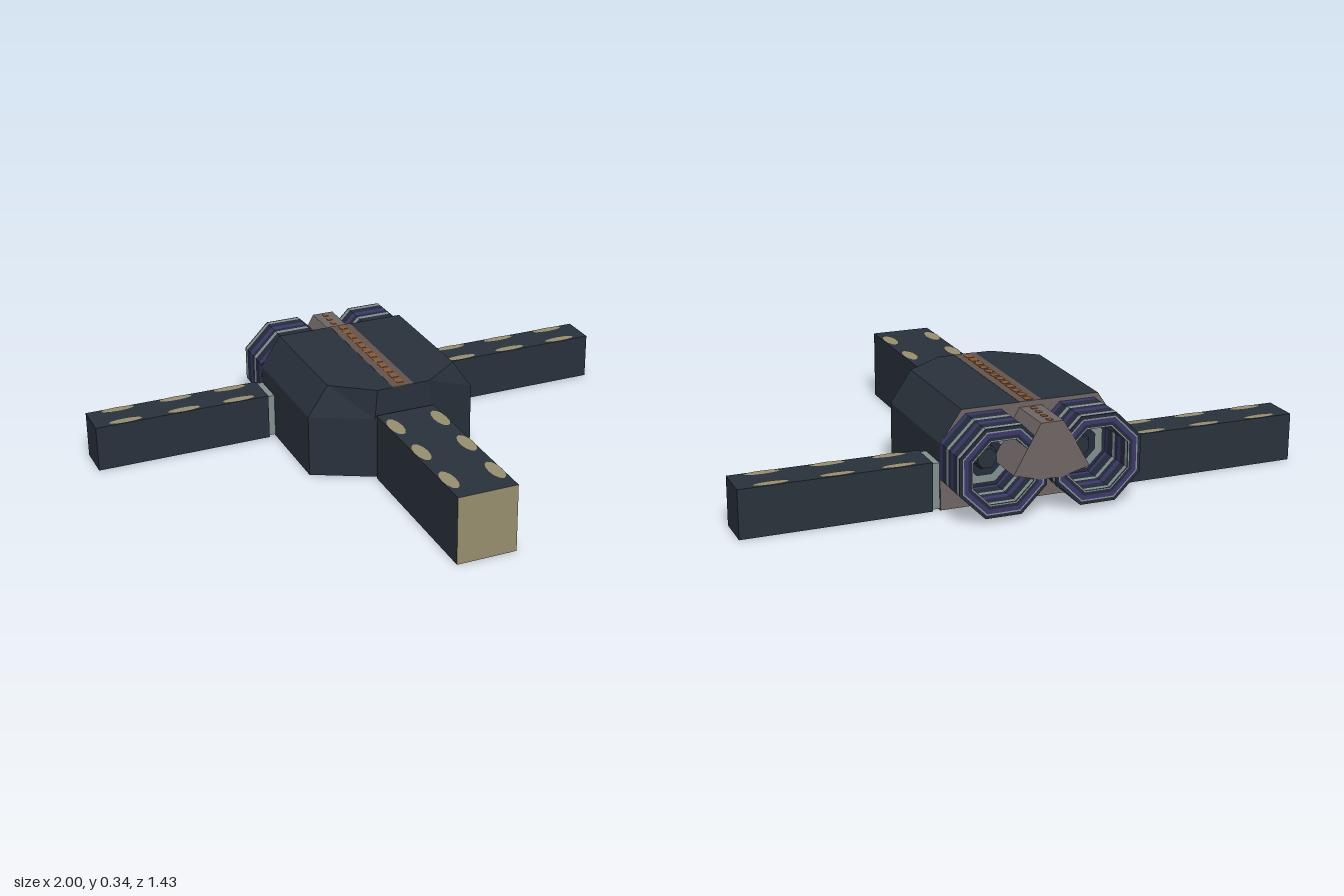
import * as THREE from 'three';

const mat = (name, color) => {
  const m = new THREE.MeshStandardMaterial({ color, side: THREE.DoubleSide });
  m.name = name;
  return m;
};

export function createModel() {
  const model = new THREE.Group();
  model.name = 'spacecraft';
  const hull = mat('hullSlate', 0x28313b);
  const under = mat('undersideBrown', 0x6e6564);
  const cream = mat('cream', 0x968e6e);
  const pale = mat('paleGrey', 0x829090);
  const stripe = mat('stripeBrown', 0x63544c);
  const orange = mat('stripeOrange', 0x8a5730);
  const navy = mat('engineNavy', 0x252c3c);
  const violet = mat('engineViolet', 0x3b396a);

  const add = (name, geo, material, x = 0, y = 0, z = 0, parent = model) => {
    const m = new THREE.Mesh(geo, material);
    m.name = name;
    m.position.set(x, y, z);
    parent.add(m);
    return m;
  };
  // Box given by its minimum and maximum corners
  const box = (name, a, b, material) => add(name,
    new THREE.BoxGeometry(b[0] - a[0], b[1] - a[1], b[2] - a[2]), material,
    (a[0] + b[0]) / 2, (a[1] + b[1]) / 2, (a[2] + b[2]) / 2);
  const toShape = (pts) => new THREE.Shape(pts.map(([x, y]) => new THREE.Vector2(x, y)));

  // Hull: three cross-sections, bevelled roof and tapered nose
  const section = (w, roof) => [[w, 0], [w, 0.23], [roof, 0.34], [-roof, 0.34], [-w, 0.23], [-w, 0]];
  const rear = section(0.32, 0.245), nose = section(0.11, 0.1);
  const loft = [[rear, -0.54], [rear, -0.065], [nose, 0.045]];
  const pos = [];
  for (let s = 0; s < 2; s++) {
    const [pa, za] = loft[s], [pb, zb] = loft[s + 1];
    for (let i = 0; i < 5; i++) {
      const a = [...pa[i], za], b = [...pa[i + 1], za], c = [...pb[i + 1], zb], d = [...pb[i], zb];
      pos.push(...a, ...b, ...c, ...a, ...c, ...d);
    }
  }
  const shell = new THREE.BufferGeometry();
  shell.setAttribute('position', new THREE.Float32BufferAttribute(pos, 3));
  shell.computeVertexNormals();
  add('hullShell', shell, hull);
  add('hullNose', new THREE.ShapeGeometry(toShape(nose)), hull, 0, 0, 0.045);
  add('hullBack', new THREE.ShapeGeometry(toShape(rear)).rotateY(Math.PI), under, 0, 0, -0.54);

  // Underside with an octagonal recess
  const bay = { z: -0.25, r: 0.2, depth: 0.05 };
  const floor = toShape([[-0.32, -0.54], [0.32, -0.54], [0.32, -0.065], [0.11, 0.045], [-0.11, 0.045], [-0.32, -0.065]]);
  const hole = new THREE.Path();
  for (let i = 0; i < 8; i++) {
    const t = -(i + 0.5) * Math.PI / 4;
    hole[i ? 'lineTo' : 'moveTo'](bay.r * Math.sin(t), bay.z + bay.r * Math.cos(t));
  }
  hole.closePath();
  floor.holes.push(hole);
  add('hullFloor', new THREE.ShapeGeometry(floor).rotateX(Math.PI / 2), under);
  const oct = (r1, r2, h, open) => {
    const g = new THREE.CylinderGeometry(r1, r2, h, 8, 1, open, Math.PI / 8).toNonIndexed();
    g.computeVertexNormals();
    return g;
  };
  add('bayWall', oct(bay.r, bay.r, bay.depth, true), navy, 0, bay.depth / 2, bay.z);
  add('bayCeiling', oct(bay.r, bay.r, 0.005, false), hull, 0, bay.depth, bay.z);
  add('bayRim', new THREE.RingGeometry(0.165, bay.r, 8, 1, Math.PI / 8).rotateX(Math.PI / 2), navy, 0, 0.025, bay.z);
  add('bayHub', oct(0.035, 0.035, 0.02, false), under, 0, 0.04, bay.z);

  // Roof stripe with a dashed centre line
  box('roofStripe', [-0.04, 0.338, -0.54], [0.04, 0.341, 0.045], stripe);
  for (let i = 0; i < 12; i++) {
    const z = -0.53 + i * 0.047;
    box('stripeDash', [-0.013, 0.339, z], [0.013, 0.3425, z + 0.032], orange);
  }

  // Arms with brown undersides, pale collars and rows of oval spots
  const armMats = (front) => [hull, hull, hull, under, front, hull];
  const oval = (x, y, z, rx, rz) =>
    add('armSpot', new THREE.CircleGeometry(1, 12).rotateX(-Math.PI / 2).scale(rx, 1, rz), cream, x, y, z);
  box('frontArm', [-0.11, 0, 0.06], [0.11, 0.25, 0.715], armMats(cream));
  box('frontCollar', [-0.105, 0.005, 0.045], [0.105, 0.22, 0.06], pale);
  for (const s of [-1, 1]) {
    for (const z of [0.17, 0.38, 0.595]) oval(s * 0.085, 0.252, z, 0.025, 0.063);
    const x0 = s * 0.345, x1 = s;
    box('sideArm', [Math.min(x0, x1), 0, -0.54], [Math.max(x0, x1), 0.17, -0.405], armMats(hull));
    box('sideCollar', [s > 0 ? 0.32 : -0.345, 0.005, -0.535], [s > 0 ? 0.345 : -0.32, 0.165, -0.41], pale);
    for (const x of [0.455, 0.665, 0.885])
      for (const z of [-0.523, -0.422]) oval(s * x, 0.172, z, 0.062, 0.016);
  }

  // Twin octagonal engine rings made of coloured bands
  const R = 0.165, r = 0.115;
  const bands = [[-0.54, violet], [-0.562, navy], [-0.6, pale], [-0.617, navy], [-0.637, violet],
    [-0.66, navy], [-0.692, pale], [-0.707, navy], [-0.713, null]];
  const rims = [[R, navy], [0.153, pale], [0.148, violet], [0.132, navy], [0.12, pale], [r, null]];
  for (const s of [-1, 1]) {
    const engine = new THREE.Group();
    engine.name = 'engine';
    engine.position.set(s * 0.168, 0.1725, 0);
    model.add(engine);
    for (let i = 0; i < bands.length - 1; i++) {
      const [z0, m] = bands[i], z1 = bands[i + 1][0];
      for (const [name, rad] of [['engineBand', R], ['engineInnerBand', r]])
        add(name, oct(rad, rad, z0 - z1, true).rotateX(Math.PI / 2), m, 0, 0, (z0 + z1) / 2, engine);
    }
    for (let i = 0; i < 5; i++)
      add('engineRim', new THREE.RingGeometry(rims[i + 1][0], rims[i][0], 8, 1, Math.PI / 8).rotateY(Math.PI),
        rims[i][1], 0, 0, -0.713, engine);
    // Recessed nozzle: dark plate, pale ring and hub
    add('engineBackplate', new THREE.CircleGeometry(r, 8, Math.PI / 8).rotateY(Math.PI), navy, 0, 0, -0.545, engine);
    add('nozzleRing', new THREE.RingGeometry(0.07, 0.1, 8, 1, Math.PI / 8).rotateY(Math.PI), pale, 0, 0, -0.55, engine);
    add('engineHub', oct(0.035, 0.045, 0.03, false).rotateX(-Math.PI / 2), hull, 0, 0, -0.56, engine);
  }

  // Wedge filling the gap between the engines, carrying the stripe on
  const wedge = toShape([[-0.04, 0.322], [-0.135, 0.155], [-0.04, 0.13], [0.04, 0.13], [0.135, 0.155], [0.04, 0.322]]);
  add('engineBridge', new THREE.ExtrudeGeometry(wedge, { depth: 0.175, bevelEnabled: false }), under, 0, 0, -0.715);
  for (let i = 0; i < 4; i++) {
    const z = -0.7 + i * 0.042;
    box('bridgeDash', [-0.009, 0.321, z], [0.009, 0.324, z + 0.02], orange);
  }
  return model;
}
